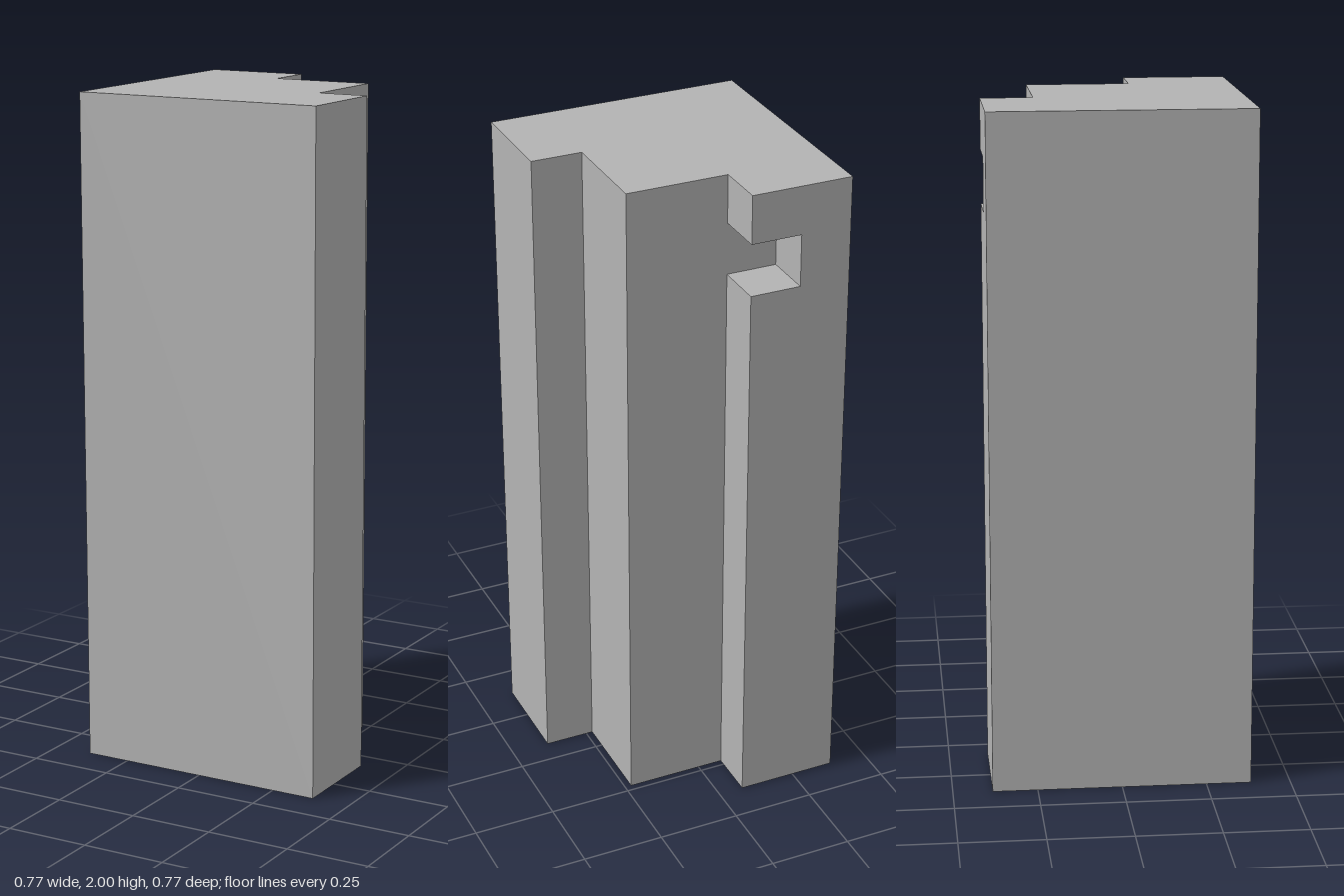
import * as THREE from 'three';

const HALF = 0.383;   // half the width and depth
const STEP = 0.077;   // first step in the plan
const INNER = 0.23;   // second step in the plan
const HEIGHT = 2;

function extrude(points, depth) {
  const shape = new THREE.Shape(points.map(([x, y]) => new THREE.Vector2(x, y)));
  return new THREE.ExtrudeGeometry(shape, { depth, bevelEnabled: false });
}

export function createModel() {
  const model = new THREE.Group();
  model.name = 'steppedBlock';
  const grey = new THREE.MeshStandardMaterial({ color: 0xb3b3b3 });
  grey.name = 'plain grey';

  function add(name, geometry) {
    const mesh = new THREE.Mesh(geometry, grey);
    mesh.name = name;
    model.add(mesh);
    return mesh;
  }

  // Main column: plan outline as (x, -z), raised to full height
  const column = extrude([
    [-HALF, -HALF], [HALF, -HALF], [HALF, -STEP],
    [INNER, -STEP], [INNER, INNER], [-HALF, INNER],
  ], HEIGHT);
  column.rotateX(-Math.PI / 2);
  add('mainColumn', column);

  // Rear rib: outline as (x, y) with a square notch near the top
  const notchBottom = 1.695;
  const notchTop = 1.853;
  const rib = extrude([
    [-HALF, 0], [-STEP, 0], [-STEP, notchBottom], [-INNER, notchBottom],
    [-INNER, notchTop], [-STEP, notchTop], [-STEP, HEIGHT], [-HALF, HEIGHT],
  ], HALF - INNER);
  rib.translate(0, 0, -HALF);
  add('notchedRearRib', rib);

  return model;
}
